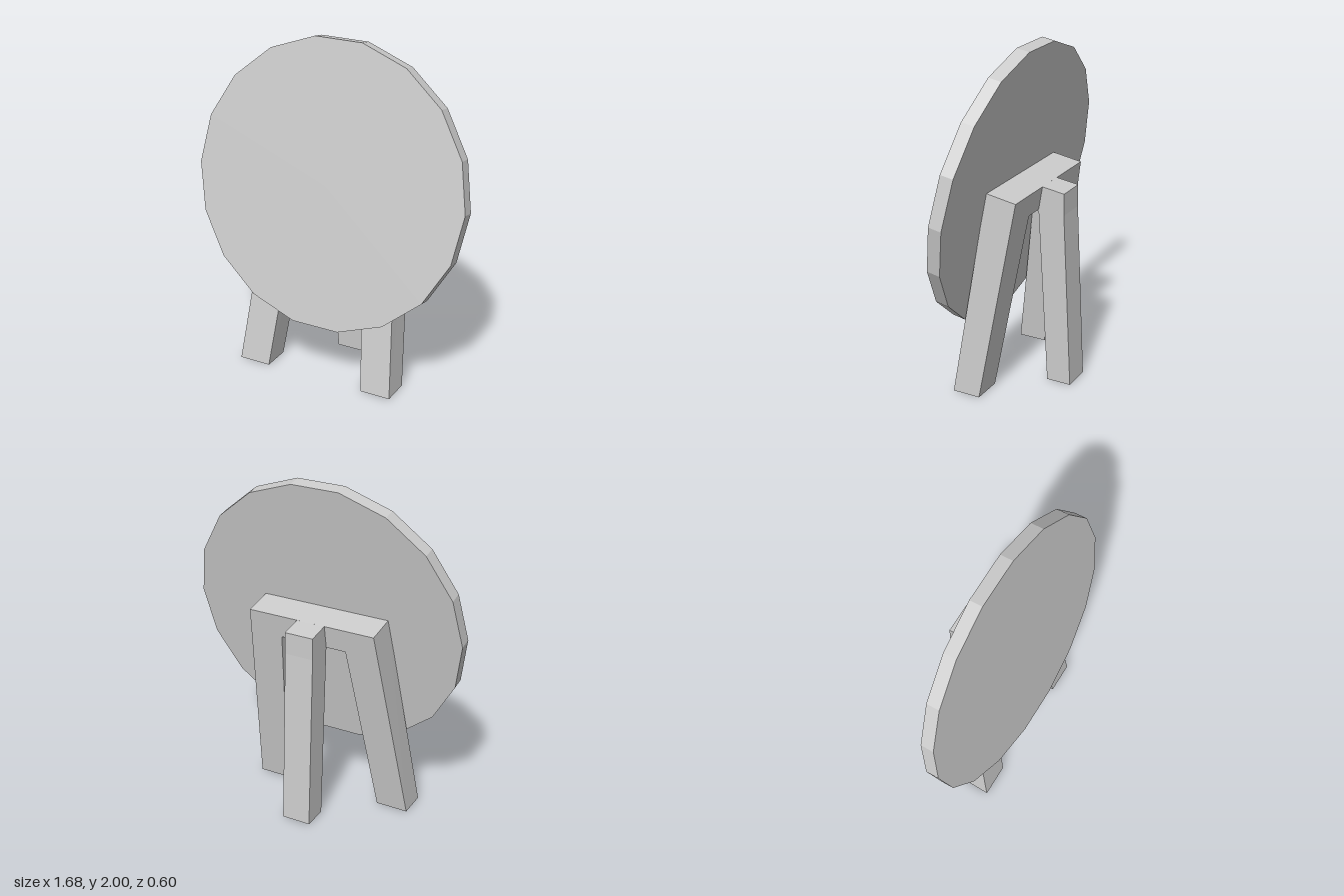
import * as THREE from 'three';

const material = new THREE.MeshStandardMaterial({ color: 0xcccccc, flatShading: true });

function addPart(group, name, geometry) {
  const mesh = new THREE.Mesh(geometry, material);
  mesh.name = name;
  group.add(mesh);
  return mesh;
}

function extrude(points, depth) {
  const shape = new THREE.Shape(points.map(([x, y]) => new THREE.Vector2(x, y)));
  return new THREE.ExtrudeGeometry(shape, { depth, bevelEnabled: false });
}

export function createModel() {
  const group = new THREE.Group();

  // Round board: 18-sided disc leaning back by 10 degrees
  const board = new THREE.CylinderGeometry(0.84, 0.84, 0.08, 18, 1, false, Math.PI / 18);
  board.rotateX(THREE.MathUtils.degToRad(80));
  addPart(group, 'board', board).position.set(0, 1.178, 0.118);

  // Front frame: two splayed legs joined by a crossbar, leaning back
  const frame = extrude([
    [-0.535, 0], [-0.34, 0], [-0.21, 1.07], [0.2, 1.07],
    [0.28, 0], [0.465, 0], [0.395, 1.21], [-0.395, 1.21],
  ], 1);
  const pos = frame.attributes.position;
  for (let i = 0; i < pos.count; i++) {
    const front = pos.getZ(i); // 0 at the back face, 1 at the front face
    const y = pos.getY(i) * (1 + 0.025 * front);
    const z = THREE.MathUtils.lerp(0.095 - 0.173 * y, 0.265 - 0.157 * y, front);
    pos.setXYZ(i, pos.getX(i), y, z);
  }
  frame.computeVertexNormals();
  addPart(group, 'frontLegs', frame);

  // Rear leg with the short arm that joins it to the crossbar, drawn as (z, y)
  const rear = extrude([
    [-0.30, 0], [-0.15, 0], [-0.09, 1.06], [-0.08, 1.06],
    [-0.1, 1.212], [-0.25, 1.19], [-0.25, 1.06],
  ], 0.175);
  rear.rotateY(-Math.PI / 2);
  rear.translate(0.086, 0, 0);
  addPart(group, 'rearLeg', rear);

  return group;
}
